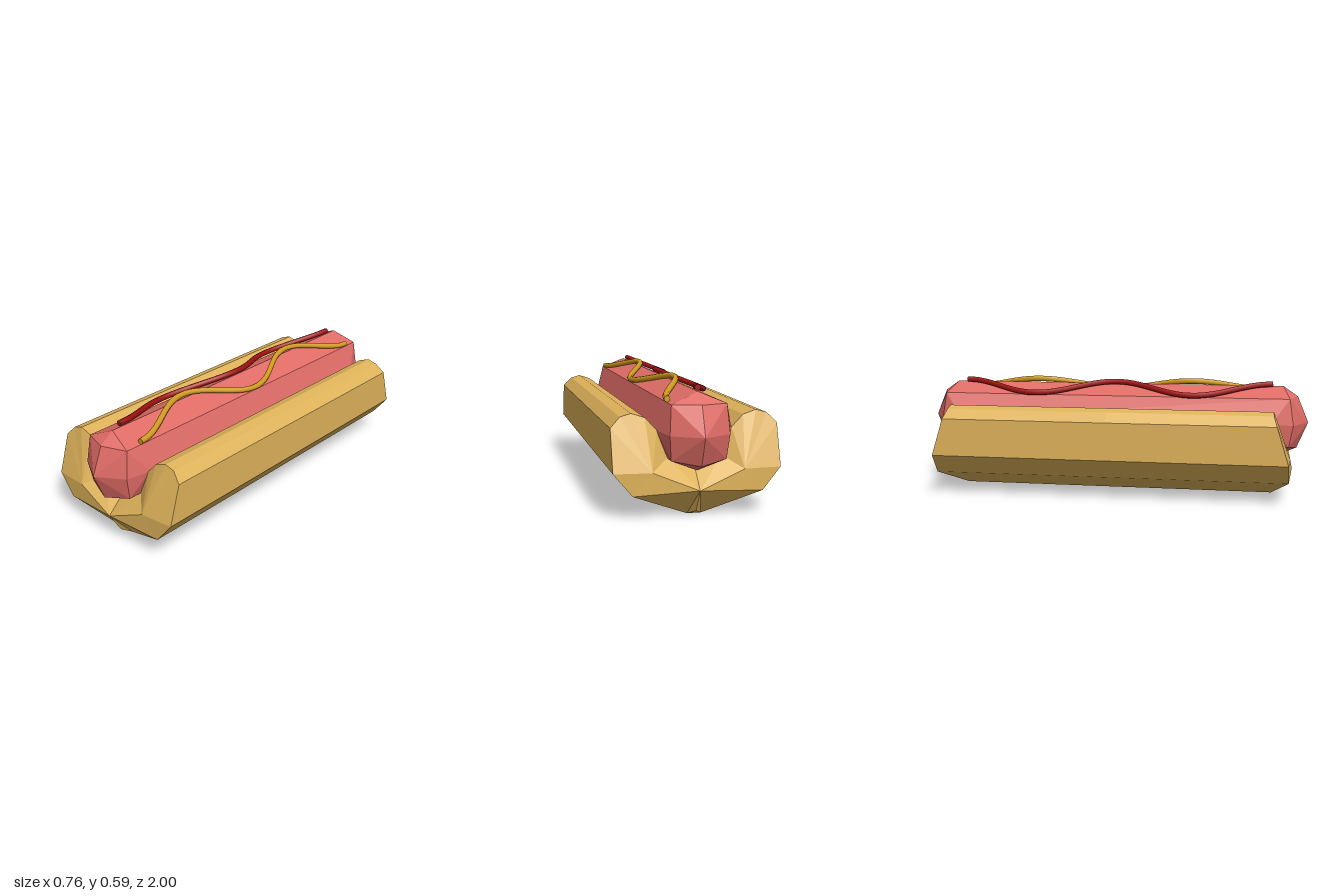
import * as THREE from 'three';
import { ConvexGeometry } from 'three/addons/geometries/ConvexGeometry.js';

const V = (x, y, z) => new THREE.Vector3(x, y, z);
const material = (color, flatShading) => new THREE.MeshStandardMaterial({ color, flatShading });

function addMesh(group, name, geometry, mat) {
  const mesh = new THREE.Mesh(geometry, mat);
  mesh.name = name;
  group.add(mesh);
}

// Faceted sausage: an eight-sided bar with blunt, quad-faced tips
function sausageGeometry() {
  const pts = [];
  for (const s of [1, -1]) {
    pts.push(V(0, 0.37, s));
    for (const k of [1, -1]) {
      pts.push(V(0, 0.37 + k * 0.134, s * 0.944), V(k * 0.135, 0.37, s * 0.92));
      pts.push(V(0, 0.38 + k * 0.175, s * 0.87), V(k * 0.173, 0.38, s * 0.81));
      pts.push(V(k * 0.125, 0.503, s * 0.9), V(k * 0.125, 0.257, s * 0.9));
    }
  }
  return new ConvexGeometry(pts);
}

// Bun: one half section, ends bulging to a spine, mirrored over x and z
function bunGeometry() {
  const rim = [
    V(0, 0, 0.82), V(0.032, 0, 0.82), V(0.295, 0.108, 0.9), V(0.38, 0.21, 0.895),
    V(0.38, 0.4, 0.835), V(0.335, 0.446, 0.82), V(0.285, 0.46, 0.82), V(0.225, 0.44, 0.82),
    V(0.172, 0.385, 0.82), V(0.123, 0.262, 0.83), V(0, 0.212, 0.83),
  ];
  const spineMid = V(0, 0.125, 0.925), spineSide = V(0.208, 0.21, 0.908), chin = V(0, 0.02, 0.86);
  const tris = [];
  // End cap
  for (let i = 2; i < 9; i++) tris.push([spineSide, rim[i], rim[i + 1]]);
  tris.push([spineMid, spineSide, rim[9]], [spineMid, rim[9], rim[10]]);
  tris.push([spineMid, rim[2], spineSide], [spineMid, rim[1], rim[2]]);
  tris.push([spineMid, chin, rim[1]], [chin, rim[0], rim[1]]);
  // Long sides, from the rim to the middle plane
  for (let i = 0; i < rim.length - 1; i++) {
    const a = rim[i], b = rim[i + 1];
    const a0 = V(a.x, a.y, 0), b0 = V(b.x, b.y, 0);
    tris.push([a, a0, b0], [a, b0, b]);
  }
  const pos = [];
  for (const sx of [1, -1]) for (const sz of [1, -1]) {
    for (const [a, b, c] of tris) {
      for (const p of sx * sz > 0 ? [a, b, c] : [a, c, b]) pos.push(p.x * sx, p.y, p.z * sz);
    }
  }
  const g = new THREE.BufferGeometry();
  g.setAttribute('position', new THREE.Float32BufferAttribute(pos, 3));
  g.computeVertexNormals();
  return g;
}

// Wavy line of sauce lying on one slope of the sausage, with closed ends
function addSauce(group, name, color, midX, slope) {
  const pts = [];
  for (let i = 0; i <= 32; i++) {
    const z = 0.815 - (1.63 * i) / 32;
    const x = midX + 0.065 * Math.cos((2 * Math.PI * z) / 0.82);
    pts.push(V(x, 0.571 + slope * x, z));
  }
  const radius = 0.0145, sides = 8;
  const sauce = new THREE.Group();
  sauce.name = name;
  const mat = material(color, false);
  addMesh(sauce, name + 'Line', new THREE.TubeGeometry(new THREE.CatmullRomCurve3(pts), 80, radius, sides), mat);
  for (const end of [0, 32]) {
    const cap = new THREE.CircleGeometry(radius, sides);
    if (end) cap.rotateY(Math.PI);
    cap.translate(pts[end].x, pts[end].y, pts[end].z);
    addMesh(sauce, name + 'End', cap, mat);
  }
  group.add(sauce);
}

export function createModel() {
  const model = new THREE.Group();
  model.name = 'hotDog';
  addMesh(model, 'bun', bunGeometry(), material(0xdeb25a, true));
  addMesh(model, 'sausage', sausageGeometry(), material(0xe06c66, true));
  addSauce(model, 'ketchup', 0xa01212, -0.08, 0.39);
  addSauce(model, 'mustard', 0xd29c20, 0.058, -0.43);
  return model;
}
